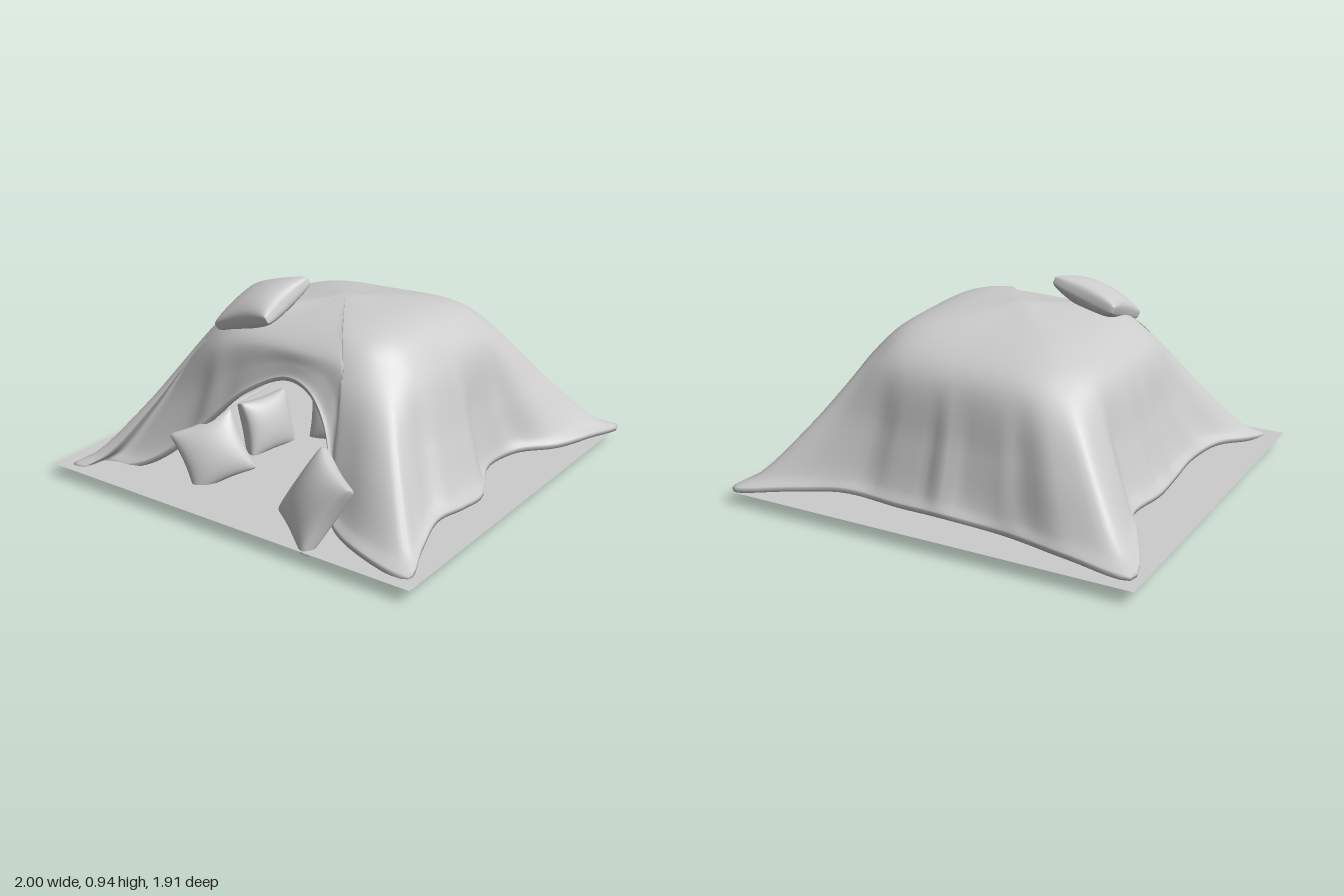
import * as THREE from 'three';
import { mergeVertices } from 'three/addons/utils/BufferGeometryUtils.js';

const mat = new THREE.MeshStandardMaterial({ color: 0xcccccc });
const matDouble = new THREE.MeshStandardMaterial({ color: 0xcccccc, side: THREE.DoubleSide });
const V = (x, y, z) => new THREE.Vector3(x, y, z);

// Hem of the blanket: right side, back, left side, then over the entrance arch
const HEM = [
  [0.93, 0.07, 0.88], [0.88, 0.1, 0.7], [0.83, 0.13, 0.5], [0.84, 0.11, 0.3], [0.82, 0.08, 0.1],
  [0.71, 0.1, -0.15], [0.76, 0.12, -0.32], [0.88, 0.11, -0.5], [0.95, 0.1, -0.72], [0.99, 0.08, -0.95],
  [0.74, 0.1, -0.87], [0.5, 0.11, -0.78], [0.2, 0.1, -0.78], [0, 0.11, -0.8], [-0.3, 0.1, -0.8],
  [-0.45, 0.11, -0.84], [-0.7, 0.12, -0.91], [-0.98, 0.11, -0.93],
  [-0.84, 0.12, -0.55], [-0.75, 0.11, -0.38], [-0.76, 0.09, -0.1], [-0.75, 0.09, 0.1], [-0.75, 0.11, 0.3],
  [-0.79, 0.11, 0.55], [-0.88, 0.08, 0.75], [-0.92, 0.06, 0.9],
  [-0.85, 0.06, 0.89], [-0.82, 0.06, 0.78], [-0.72, 0.055, 0.76], [-0.6, 0.1, 0.72], [-0.42, 0.24, 0.65],
  [-0.3, 0.36, 0.61], [-0.15, 0.5, 0.57], [0.05, 0.6, 0.53], [0.2, 0.585, 0.56], [0.31, 0.48, 0.6],
  [0.38, 0.3, 0.65], [0.46, 0.13, 0.76], [0.7, 0.09, 0.87],
].map(p => V(...p));

// Curve from the crown over the shoulder and down to one hem point
function drapeCurve(hem) {
  const a = Math.atan2(hem.z, hem.x), c = Math.cos(a), s = Math.sin(a);
  const r = 1 / Math.pow(c ** 4 + s ** 4, 0.25);
  const lift = THREE.MathUtils.smoothstep(hem.y, 0.1, 0.6);
  const shoulder = V(0.02 + 0.58 * r * c, 0.64 + 0.08 * lift, -0.02 + 0.56 * r * s - 0.05 * lift);
  const crown = V(0.03, 0.845, 0.04);
  const top = crown.clone().lerp(shoulder, 0.74);
  top.y = 0.767 + 0.018 * c + 0.018 * s;
  const ripple = 0.007 * (1 - lift) * (Math.sin(a * 19) + 0.6 * Math.sin(a * 31));
  const down = (t, ty) => {
    const p = shoulder.clone().lerp(hem, t);
    p.y = THREE.MathUtils.lerp(shoulder.y, hem.y, ty);
    return p.add(V(c * ripple, 0, s * ripple));
  };
  return new THREE.CatmullRomCurve3([crown, top, shoulder, down(0.44, 0.52), down(0.82, 0.91), hem]);
}

// Draped cloth whose edge folds under to give the hem its thickness
function blanket() {
  const hemCurve = new THREE.CatmullRomCurve3(HEM, true);
  const cols = 200, rows = 36, pos = [], index = [];
  for (let i = 0; i < cols; i++) {
    const curve = drapeCurve(hemCurve.getPoint(i / cols));
    for (let j = 0; j <= rows; j++) pos.push(...curve.getPoint(j / rows).toArray());
    const hem = curve.getPoint(1);
    pos.push(hem.x * 0.996, hem.y - 0.018, hem.z * 0.996, hem.x * 0.96, hem.y - 0.012, hem.z * 0.96);
  }
  const ring = rows + 3;
  for (let i = 0; i < cols; i++) {
    for (let j = 0; j < ring - 1; j++) {
      const a = i * ring + j, b = ((i + 1) % cols) * ring + j;
      index.push(a, a + 1, b + 1, a, b + 1, b);
    }
  }
  let geo = new THREE.BufferGeometry();
  geo.setAttribute('position', new THREE.Float32BufferAttribute(pos, 3));
  geo.setIndex(index);
  geo = mergeVertices(geo, 1e-4);
  geo.computeVertexNormals();
  const cloth = new THREE.Mesh(geo, matDouble);
  cloth.name = 'blanket';
  return cloth;
}

// Stuffed square cushion with drawn-in edges and blunt corners
function pillowGeometry(w, h, t) {
  let geo = new THREE.BoxGeometry(2, 2, 2, 20, 20, 2);
  const p = geo.attributes.position;
  for (let i = 0; i < p.count; i++) {
    const u = Math.sin(p.getX(i) * Math.PI / 2), v = Math.sin(p.getY(i) * Math.PI / 2);
    const uu = u * u, vv = v * v;
    const puff = Math.pow(Math.max(0, (1 - uu) * (1 - vv)), 0.42);
    const corner = 1 - 0.05 * (uu * vv) ** 4;
    p.setXYZ(i, u * w / 2 * (1 - 0.1 * (1 - vv)) * corner, v * h / 2 * (1 - 0.1 * (1 - uu)) * corner,
      p.getZ(i) * (0.012 + (t / 2 - 0.012) * puff));
  }
  geo.deleteAttribute('normal');
  geo.deleteAttribute('uv');
  geo = mergeVertices(geo);
  geo.computeVertexNormals();
  return geo;
}

// Places a pillow turned by yaw, leaning back by lean and spun by roll
function pillow(name, at, [yaw, lean, roll], [w, h, t]) {
  const mesh = new THREE.Mesh(pillowGeometry(w, h, t), mat);
  mesh.rotation.set(-lean, yaw, roll, 'YXZ');
  mesh.position.set(...at);
  mesh.name = name;
  return mesh;
}

// Chair that holds the blanket up
function chair() {
  const group = new THREE.Group();
  const bar = (name, w, h, d, x, y, z) => {
    const m = new THREE.Mesh(new THREE.BoxGeometry(w, h, d), mat);
    m.position.set(x, y, z);
    m.name = name;
    group.add(m);
  };
  bar('chairPost', 0.03, 0.36, 0.03, -0.15, 0.26, -0.34);
  bar('chairPost', 0.03, 0.63, 0.03, 0.19, 0.385, -0.34);
  bar('chairUpperRail', 0.31, 0.04, 0.03, 0.02, 0.42, -0.34);
  bar('chairLowerRail', 0.31, 0.035, 0.03, 0.02, 0.37, -0.33);
  group.name = 'chair';
  return group;
}

export function createModel() {
  const model = new THREE.Group();
  model.name = 'blanketFort';

  const floor = new THREE.Mesh(new THREE.PlaneGeometry(1.98, 1.9), matDouble);
  floor.rotation.x = -Math.PI / 2;
  floor.position.set(-0.01, 0.058, 0);
  floor.name = 'floor';

  const inner = [0.29, 0.28, 0.14];
  model.add(floor, blanket(), chair(),
    pillow('roofPillow', [-0.23, 0.825, 0.32], [-0.8, 1.13, 0.76], [0.35, 0.35, 0.15]),
    pillow('entrancePillowRight', [-0.305, 0.18, 0.61], [0.7, 0.42, 0.38], [0.31, 0.31, 0.15]),
    pillow('entrancePillowLeft', [0.4, 0.205, 0.78], [-0.5, 0.55, -0.2], [0.34, 0.36, 0.15]),
    pillow('innerPillowBackRight', [-0.1, 0.165, -0.09], [0.4, 0.25, 0], inner),
    pillow('innerPillowBackLeft', [0.17, 0.17, -0.04], [-0.7, 0.25, 0], inner),
    pillow('innerPillowLeft', [0.31, 0.175, 0.19], [-1.25, 0.25, 0], inner),
    pillow('innerPillowRight', [-0.32, 0.17, 0.2], [1.4, 0.25, 0], inner));
  return model;
}
